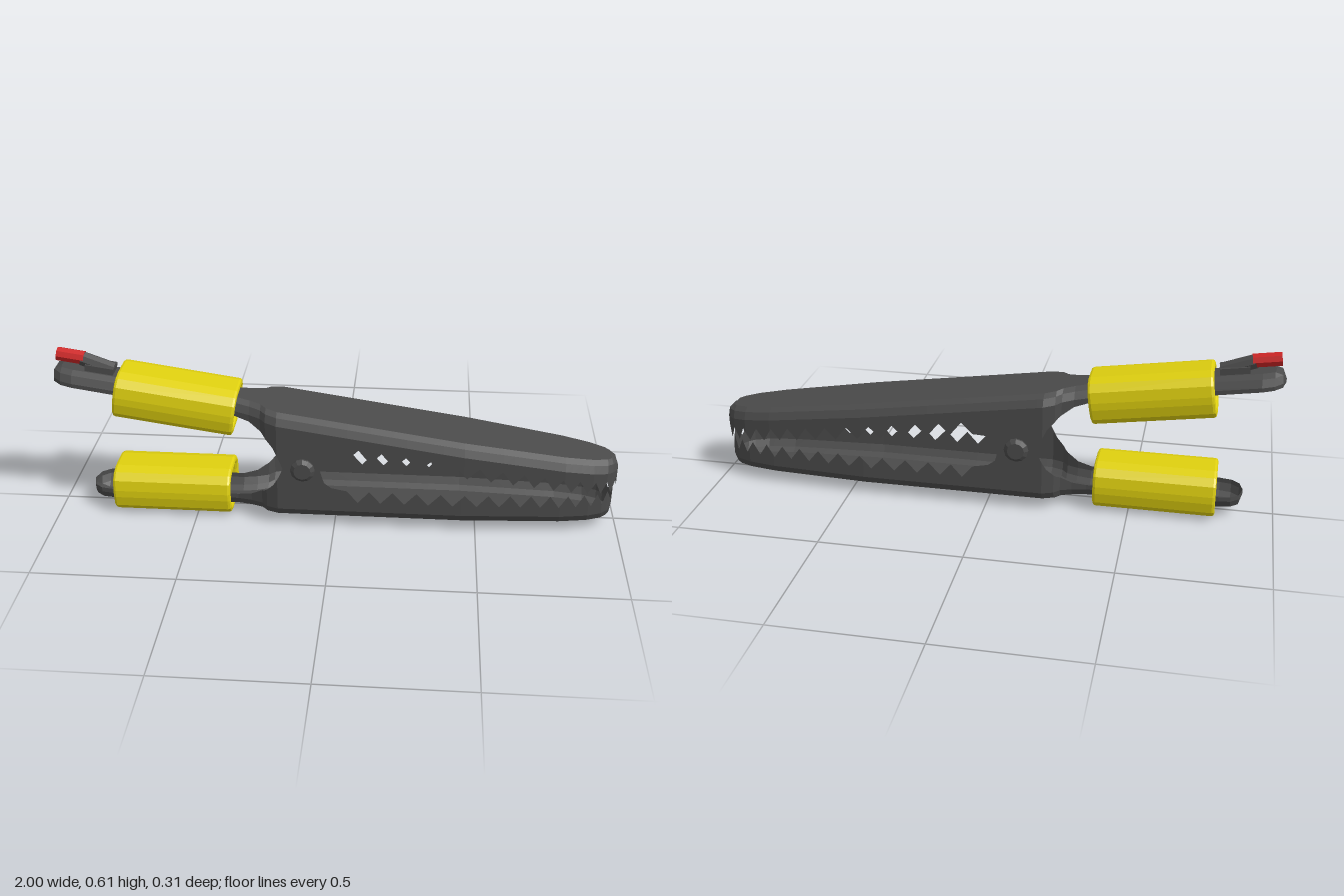
import * as THREE from 'three';

const steel = new THREE.MeshStandardMaterial({ name: 'darkSteel', color: 0x4b4b4b, flatShading: true, side: THREE.DoubleSide });
const yellow = new THREE.MeshStandardMaterial({ name: 'yellowSleeve', color: 0xdfd00f, flatShading: true });
const red = new THREE.MeshStandardMaterial({ name: 'redWire', color: 0xcc2424, flatShading: true });

const PIVOT = [-0.11, 0.235];
const SLOPE = 0.147; // fall of the upper jaw towards the nose
const topLine = (x) => 0.41 - SLOPE * x;

// piecewise linear lookup in a list of [x, value]
function lookup(points, x) {
  if (x <= points[0][0]) return points[0][1];
  for (let i = 1; i < points.length; i++) {
    const [x0, v0] = points[i - 1], [x1, v1] = points[i];
    if (x <= x1) return v0 + (v1 - v0) * (x - x0) / (x1 - x0);
  }
  return points[points.length - 1][1];
}

// zigzag edge running to the nose: valley(x) and tip(x) give the heights
function teeth(valley, tip) {
  const v = [0.085, 0.165, 0.25, 0.335, 0.42, 0.505, 0.585, 0.66, 0.73, 0.795, 0.855, 0.91, 0.95, 0.985];
  const out = [];
  v.forEach((x, i) => {
    const t = i < v.length - 1 ? (x + v[i + 1]) / 2 : 0.995;
    out.push([x, valley(x)], [t, tip(t)]);
  });
  return out;
}

// one jaw with its tail: a channel with chamfered corners, dir = 1 for the upper jaw
function jaw(name, dir, tail, outerY, edge, stretch) {
  const width = [
    [tail, 0], [tail + 0.012, 0.045], [tail + 0.04, 0.068], [tail + 0.08, 0.075],
    [-0.35, 0.075], [-0.3, 0.085], [-0.26, 0.1], [-0.24, 0.122], [-0.2, 0.137], [0.45, 0.137],
    [0.8, 0.117], [0.9, 0.1], [0.95, 0.08], [0.97, 0.062], [0.985, 0.04], [0.995, 0],
  ];
  const xs = [...new Set([...width, ...edge].map((p) => p[0]))].sort((a, b) => a - b);
  const rows = [[1, 0], [0.036, 0], [0.013, 0.012], [0, 0.038]]; // inset, drop
  const R = rows.length + 1;
  const pos = [], index = [];
  for (const s of [1, -1]) {
    const base = pos.length / 3;
    for (const x of xs) {
      const w = lookup(width, x);
      rows.forEach(([inset, drop]) => {
        const pull = Math.min(inset, 0.036);
        const px = THREE.MathUtils.clamp(x, tail + pull, 0.995 - pull * 0.8);
        pos.push(px > 0 ? px * stretch : px, outerY(px) - dir * drop, s * Math.max(w - inset, 0));
      });
      pos.push(x > 0 ? x * stretch : x, lookup(edge, x), s * w);
    }
    for (let i = 0; i < xs.length - 1; i++) {
      for (let r = 0; r < R - 1; r++) {
        const a = base + i * R + r, b = a + R, c = a + 1, d = b + 1;
        if (s * dir > 0) index.push(a, c, b, b, c, d);
        else index.push(a, b, c, b, d, c);
      }
    }
  }
  let g = new THREE.BufferGeometry();
  g.setAttribute('position', new THREE.Float32BufferAttribute(pos, 3));
  g.setIndex(index);
  g = g.toNonIndexed();
  g.computeVertexNormals();
  const m = new THREE.Mesh(g, steel);
  m.name = name;
  return m;
}

// closed loop of a faceted, rounded section
function sectionPoints(k) {
  const q = [[0.11 - k, 0.012], [0.104 - k, 0.045], [0.083 - k * 0.8, 0.073 - k * 0.8], [0.048 - k * 0.4, 0.085 - k]];
  const half = [...q, ...q.map(([x, y]) => [-x, y]).reverse()];
  return [...half, ...half.map(([x, y]) => [-x, -y])].map(([x, y]) => new THREE.Vector2(x, y));
}

// hollow grip sleeve centred at (x, y), tilted about z
function sleeve(name, x, y, tilt) {
  const bevel = 0.01, length = 0.425;
  const shape = new THREE.Shape(sectionPoints(bevel));
  shape.holes.push(new THREE.Path(sectionPoints(0.016)));
  const g = new THREE.ExtrudeGeometry(shape, {
    depth: length - 2 * bevel, bevelEnabled: true, bevelThickness: bevel, bevelSize: bevel, bevelSegments: 2,
    bevelOffset: 0,
  });
  g.translate(0, 0, -length / 2 + bevel);
  g.rotateY(Math.PI / 2);
  const m = new THREE.Mesh(g, yellow);
  m.name = name;
  m.position.set(x, y, 0);
  m.rotation.z = tilt;
  return m;
}

// round bar between two points in the z = 0 plane
function bar(name, from, to, r0, r1, sides, material) {
  const a = new THREE.Vector3(...from, 0), b = new THREE.Vector3(...to, 0);
  const m = new THREE.Mesh(new THREE.CylinderGeometry(r1, r0, a.distanceTo(b), sides), material);
  m.name = name;
  m.position.copy(a).add(b).multiplyScalar(0.5);
  m.quaternion.setFromUnitVectors(new THREE.Vector3(0, 1, 0), b.sub(a).normalize());
  return m;
}

export function createModel() {
  const group = new THREE.Group();
  group.name = 'springClip';

  // jaws, meeting at the pivot
  const upperValley = (x) => 0.32 - 0.14 * (x - 0.085);
  const upperEdge = [
    [-1, topLine(-1) - 0.052], [-0.35, 0.405], [-0.3, 0.39], [-0.25, 0.355], [-0.215, 0.315], [-0.195, 0.275],
    [-0.18, 0.235], [-0.05, 0.235], [-0.035, 0.262], [-0.01, 0.277], [0.045, 0.28],
    ...teeth(upperValley, (x) => upperValley(x) - 0.045),
  ];
  const lowerEdge = [
    [-0.89, 0.09], [-0.35, 0.09], [-0.3, 0.1], [-0.25, 0.13], [-0.215, 0.165], [-0.195, 0.2],
    [-0.18, 0.235], [-0.05, 0.235], [-0.035, 0.185], [-0.01, 0.166], [0.045, 0.155],
    ...teeth(() => 0.11, () => 0.155),
  ];
  group.add(jaw('upperJaw', 1, -1, topLine, upperEdge, 1));
  group.add(jaw('lowerJaw', -1, -0.89, () => 0.035, lowerEdge, 0.99));

  // grip sleeves
  group.add(sleeve('upperSleeve', -0.562, 0.434, -Math.atan(SLOPE)));
  group.add(sleeve('lowerSleeve', -0.587, 0.09, 0));

  // rivet heads on both sides
  for (const s of [1, -1]) {
    const profile = [[0.043, 0], [0.043, 0.014], [0.03, 0.024], [0, 0.024]].map((p) => new THREE.Vector2(...p));
    const rivet = new THREE.Mesh(new THREE.LatheGeometry(profile, 12), steel);
    rivet.name = s > 0 ? 'frontRivet' : 'backRivet';
    rivet.position.set(...PIVOT, s * 0.13);
    rivet.rotation.x = s * Math.PI / 2;
    group.add(rivet);
  }

  // wire and its crimp on the upper tail
  group.add(bar('wire', [-0.98, 0.588], [-0.885, 0.574], 0.025, 0.025, 8, red));
  group.add(bar('crimpBarrel', [-0.895, 0.573], [-0.785, 0.533], 0.026, 0.026, 8, steel));
  const base = new THREE.Mesh(new THREE.BoxGeometry(0.1, 0.035, 0.066), steel);
  base.name = 'crimpBase';
  base.position.set(-0.83, 0.537, 0);
  base.rotation.z = -Math.atan(SLOPE);
  group.add(base);

  return group;
}
